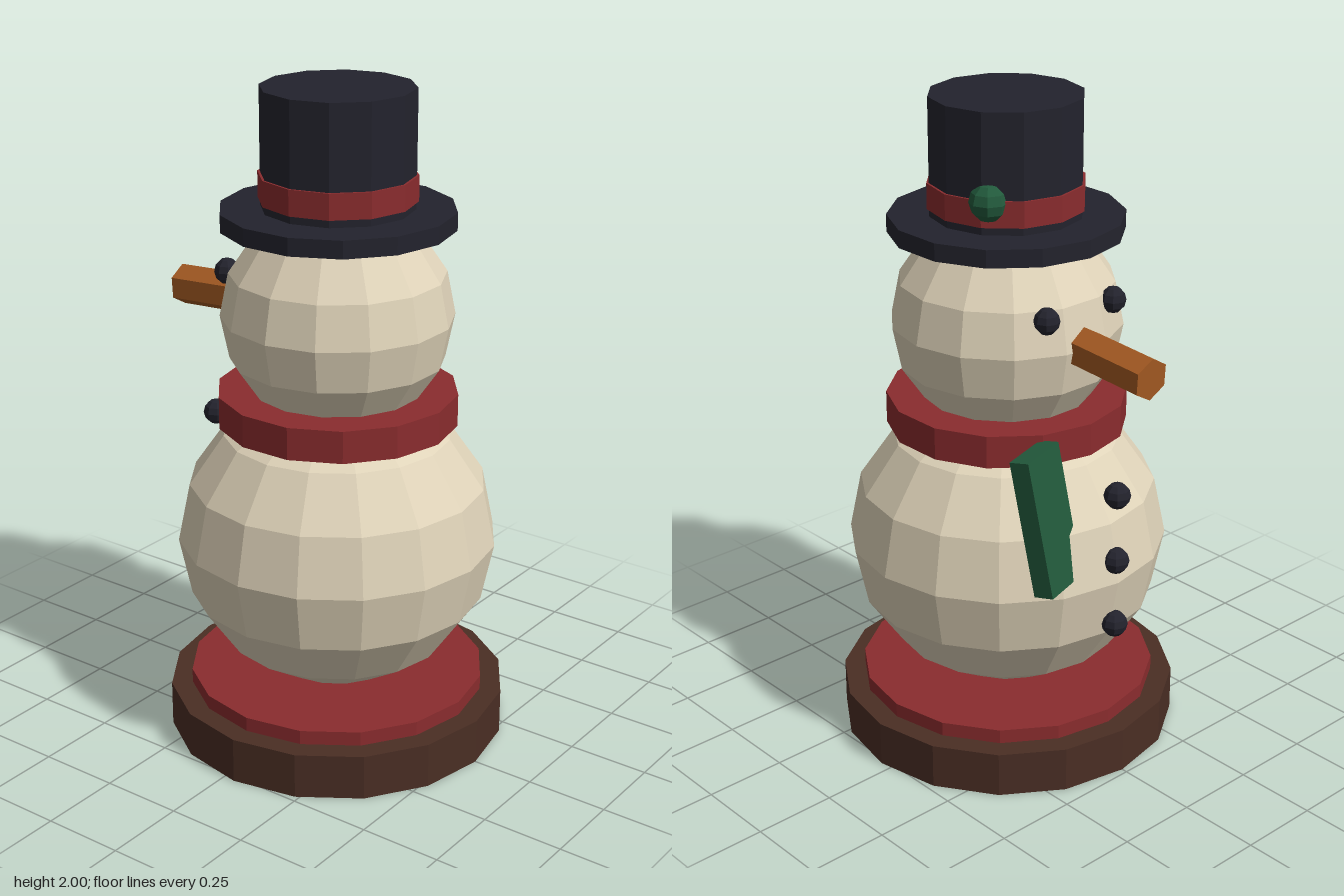
import * as THREE from 'three';

const mat = (name, color) => {
  const m = new THREE.MeshStandardMaterial({ color, flatShading: true });
  m.name = name;
  return m;
};

export function createModel() {
  const group = new THREE.Group();
  const snow = mat('snow cream', 0xdfd3b9);
  const red = mat('scarf red', 0x8a2c2e);
  const black = mat('hat black', 0x23232d);
  const brown = mat('wood brown', 0x4a2e24);
  const orange = mat('carrot orange', 0xa45a22);
  const green = mat('leaf green', 0x225a3c);
  const AXIS = 0.038; // the stacked parts stand slightly off centre, so the nose fits

  const add = (name, geometry, material, x, y, z) => {
    const mesh = new THREE.Mesh(geometry, material);
    mesh.name = name;
    mesh.position.set(x, y, z);
    group.add(mesh);
    return mesh;
  };
  const disc = (name, r, y0, y1, sides, material) =>
    add(name, new THREE.CylinderGeometry(r, r, y1 - y0, sides), material, 0, (y0 + y1) / 2, AXIS);
  const ball = (name, r, ry, sides, rings, material, x, y, z) =>
    add(name, new THREE.SphereGeometry(r, sides, rings).scale(1, ry / r, 1), material, x, y, z);

  // Pedestal
  disc('pedestal', 0.52, 0, 0.14, 16, brown);
  disc('pedestalCloth', 0.455, 0.14, 0.184, 16, red);

  // Snowballs
  ball('body', 0.485, 0.468, 16, 8, snow, 0, 0.63, AXIS);
  ball('head', 0.346, 0.34, 14, 8, snow, 0, 1.325, AXIS);

  // Scarf with a hanging tail
  disc('scarf', 0.361, 1.0, 1.098, 14, red);
  add('scarfTail', new THREE.BoxGeometry(0.16, 0.42, 0.063), green, 0.205, 0.872, -0.355)
    .rotation.set(0.18, 0.25, -0.09);

  // Top hat
  disc('hatBrim', 0.347, 1.597, 1.65, 14, black);
  disc('hatCrown', 0.226, 1.62, 2.0, 12, black);
  disc('hatBand', 0.233, 1.673, 1.75, 12, red);
  ball('hatOrnament', 0.057, 0.057, 8, 6, green, 0.172, 1.742, -0.078);

  // Face, looking towards -z
  for (const side of [-1, 1]) {
    ball(side > 0 ? 'leftEye' : 'rightEye', 0.038, 0.04, 8, 6, black, side * 0.13, 1.433, -0.272);
  }
  const nose = new THREE.CylinderGeometry(0.063, 0.063, 0.36, 6).rotateX(-Math.PI / 2);
  add('nose', nose, orange, 0, 1.318, -0.374).rotation.x = -0.06;

  // Buttons down the chest
  [0.91, 0.7, 0.49].forEach((y, i) =>
    ball('button' + (i + 1), 0.04, 0.04, 8, 6, black, 0, y, -0.434));

  return group;
}
